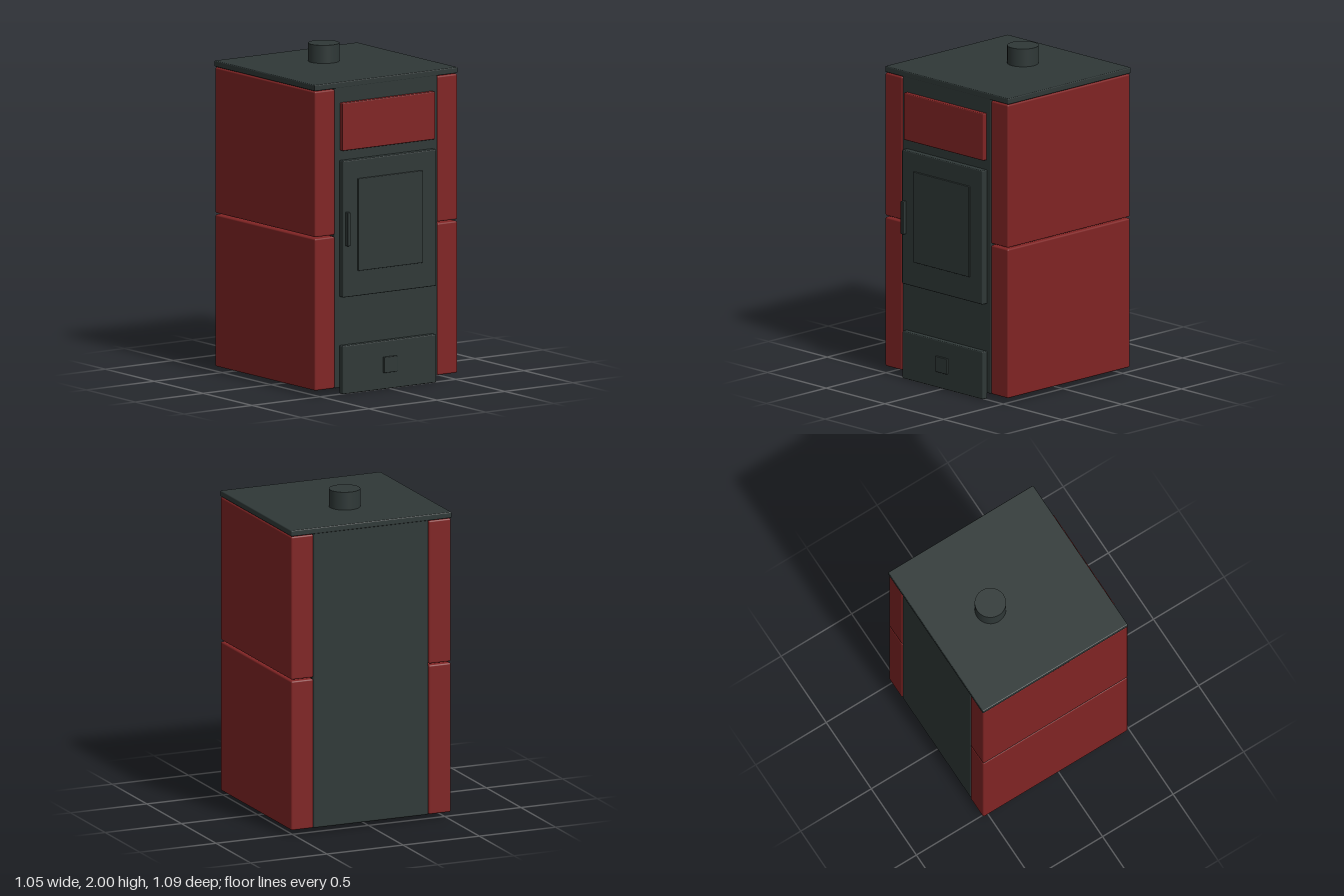
import * as THREE from 'three';
import { RoundedBoxGeometry } from 'three/addons/geometries/RoundedBoxGeometry.js';

export function createModel() {
  const model = new THREE.Group();
  model.name = 'stove';

  const iron = new THREE.MeshStandardMaterial({ color: 0x2f3837 });
  iron.name = 'dark iron';
  const red = new THREE.MeshStandardMaterial({ color: 0x802424 });
  red.name = 'red enamel';

  // Softly rounded box given by its extents on each axis
  function slab(name, material, [x0, x1], [y0, y1], [z0, z1], radius = 0.006) {
    const geometry = new RoundedBoxGeometry(x1 - x0, y1 - y0, z1 - z0, 2, radius);
    const mesh = new THREE.Mesh(geometry, material);
    mesh.name = name;
    mesh.position.set((x0 + x1) / 2, (y0 + y1) / 2, (z0 + z1) / 2);
    model.add(mesh);
  }

  // Firebox body and top plate
  slab('body', iron, [-0.378, 0.378], [0.033, 1.87], [-0.538, 0.482], 0.01);
  slab('topPlate', iron, [-0.526, 0.526], [1.853, 1.89], [-0.545, 0.483]);

  // Enamel cladding, two stacked panels on each side
  for (const [side, x] of [['left', [0.378, 0.524]], ['right', [-0.524, -0.378]]]) {
    slab(side + 'LowerPanel', red, x, [0.035, 0.957], [-0.541, 0.484], 0.01);
    slab(side + 'UpperPanel', red, x, [0.966, 1.85], [-0.541, 0.484], 0.01);
  }

  // Front panel, fire door with window and handle
  slab('frontPanel', red, [-0.34, 0.34], [1.475, 1.765], [0.475, 0.511]);
  slab('fireDoor', iron, [-0.343, 0.343], [0.587, 1.415], [0.475, 0.521]);
  slab('doorWindow', iron, [-0.238, 0.238], [0.74, 1.3], [0.51, 0.531], 0.003);
  slab('doorHandle', iron, [-0.329, -0.306], [0.9, 1.105], [0.51, 0.546], 0.004);

  // Ash drawer and its knob
  slab('ashDrawer', iron, [-0.343, 0.343], [0, 0.293], [0.478, 0.518]);
  slab('drawerKnob', iron, [-0.048, 0.048], [0.1, 0.196], [0.51, 0.531], 0.003);

  // Flue pipe
  const flue = new THREE.Mesh(new THREE.CylinderGeometry(0.094, 0.094, 0.13, 48), iron);
  flue.name = 'fluePipe';
  flue.position.set(0, 1.935, -0.156);
  model.add(flue);

  return model;
}
